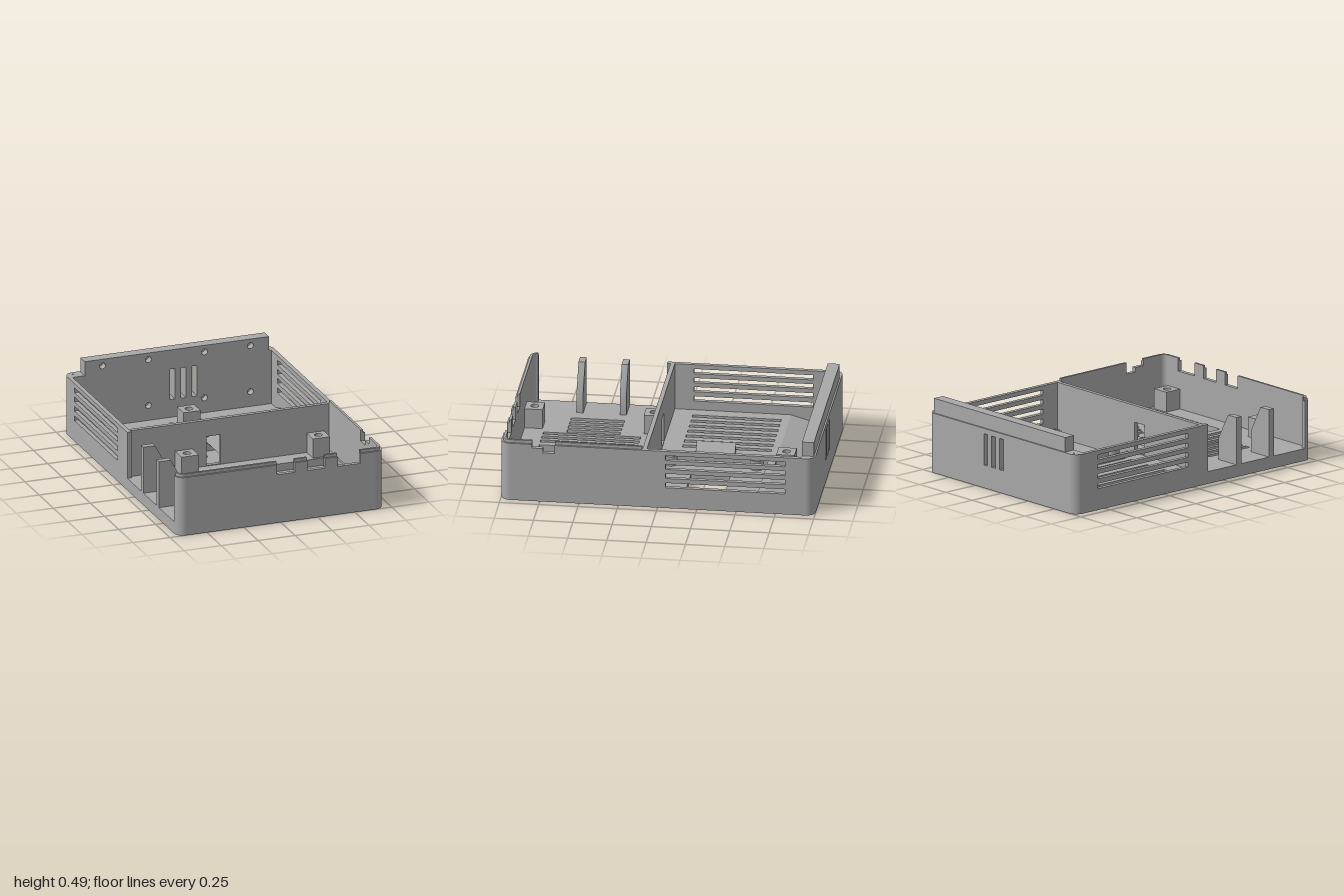
import * as THREE from 'three';
import { toCreasedNormals } from 'three/addons/utils/BufferGeometryUtils.js';

const plastic = new THREE.MeshStandardMaterial({ color: 0xa8a8a8 });
plastic.name = 'grey plastic';

// Closed outline from [u, v] points
const poly = (pts) => new THREE.Shape(pts.map(([u, v]) => new THREE.Vector2(u, v)));
const rect = (u0, v0, u1, v1) => poly([[u0, v0], [u1, v0], [u1, v1], [u0, v1]]);
const disc = (u, v, r) => new THREE.Shape().absarc(u, v, r, 0, Math.PI * 2, false);
const withHoles = (shape, holes) => { shape.holes.push(...holes); return shape; };

// Ring segment between two angles
function sector(u, v, r0, r1, a0, a1) {
  const s = new THREE.Shape();
  s.absarc(u, v, r1, a0, a1, false);
  s.absarc(u, v, r0, a1, a0, true);
  s.closePath();
  return s;
}

const extrude = (shape, depth) =>
  new THREE.ExtrudeGeometry(shape, { depth, bevelEnabled: false, curveSegments: 20 });

export function createModel() {
  const model = new THREE.Group();
  model.name = 'enclosureBase';

  const add = (name, geometry) => {
    const mesh = new THREE.Mesh(toCreasedNormals(geometry, 0.5), plastic);
    mesh.name = name;
    model.add(mesh);
  };
  // Plan shapes use (x, -z), side shapes (z, y), front shapes (x, y)
  const plan = (name, shape, y0, y1) =>
    add(name, extrude(shape, y1 - y0).rotateX(-Math.PI / 2).translate(0, y0, 0));
  const side = (name, shape, x0, x1) =>
    add(name, extrude(shape, x1 - x0).rotateY(-Math.PI / 2).translate(x1, 0, 0));
  const front = (name, shape, z0, z1) =>
    add(name, extrude(shape, z1 - z0).translate(0, 0, z0));
  const planRect = (x0, z0, x1, z1) => rect(x0, -z1, x1, -z0);

  const W = 0.7, L = 1, T = 0.028, H = 0.39, R = 0.06;
  const LOW = 0.03, FLOOR = 0.08, LIP = 0.41;

  // Floor vents and screw holes
  const backVents = [], frontVents = [];
  for (let i = 0; i < 7; i++) {
    const x = -0.59 + i * 0.0785;
    backVents.push(planRect(x, -0.62, x + 0.033, -0.055));
  }
  for (let i = 0; i < 4; i++) {
    const x = -0.445 + i * 0.062;
    frontVents.push(planRect(x, 0.36, x + 0.035, 0.7));
  }
  for (let i = 0; i < 3; i++) {
    const x = -0.202 + i * 0.062;
    frontVents.push(planRect(x, 0.225, x + 0.032, 0.845));
  }
  const posts = [[-0.31, 0.155, 0.21], [0.58, 0.15, 0.21], [-0.31, 0.915, 0.21],
    [0.58, 0.915, 0.21], [0.045, -0.735, 0.145]];
  const postHoles = posts.map(([x, z]) => disc(x, -z, 0.025));
  const bosses = [], fanHoles = [];
  for (const x of [0.07, 0.62]) {
    for (const z of [-0.55, 0]) bosses.push([x, z]);
    for (const z of [0.29, 0.775]) fanHoles.push(disc(x - (x > 0.5 ? 0.025 : 0), -z, 0.036));
  }

  // Fan grill: three rings broken by three spokes
  const grill = [];
  for (const [r0, r1] of [[0.06, 0.092], [0.12, 0.152], [0.185, 0.216]]) {
    const gap = 0.02 / r1;
    for (let k = 0; k < 3; k++) {
      const a = Math.PI / 2 + k * Math.PI * 2 / 3;
      grill.push(sector(0.33, -0.53, r0, r1, a + gap, a + Math.PI * 2 / 3 - gap));
    }
  }

  // Lower floor with rounded corners
  const base = new THREE.Shape();
  base.absarc(W - R, L - R, R, 0, Math.PI / 2, false);
  base.absarc(R - W, L - R, R, Math.PI / 2, Math.PI, false);
  base.absarc(R - W, R - L, R, Math.PI, Math.PI * 1.5, false);
  base.absarc(W - R, R - L, R, Math.PI * 1.5, Math.PI * 2, false);
  plan('floor', withHoles(base, [...backVents, ...frontVents, ...postHoles, ...fanHoles, ...grill,
    ...bosses.map(([x, z]) => disc(x, -z, 0.034)), planRect(0.22, -0.4, 0.47, -0.15)]), 0, LOW);

  // Raised floor with recesses for the fan and the board
  plan('raisedFloorFront', withHoles(planRect(-0.675, 0.085, 0.675, 0.975),
    [...frontVents, ...postHoles.slice(0, 4), planRect(0, 0.225, 0.66, 0.845)]), LOW, FLOOR);
  plan('raisedFloorBack', withHoles(planRect(-0.675, -0.67, 0, 0.085), backVents), LOW, FLOOR);
  plan('raisedFloorStrip', planRect(0, -0.67, 0.675, -0.62), LOW, FLOOR);
  const ramp = () => poly([[-0.84, LOW], [-0.67, LOW], [-0.67, FLOOR]]);
  side('floorRampLeft', ramp(), 0.14, 0.675);
  side('floorRampRight', ramp(), -0.675, -0.05);
  front('cableRamp', poly([[-0.06, FLOOR], [0, FLOOR], [-0.06, 0.14]]), -0.4, -0.15);

  // Square screw posts and round standoffs
  posts.forEach(([x, z, h]) => plan('screwPost',
    withHoles(planRect(x - 0.058, z - 0.058, x + 0.058, z + 0.058), [disc(x, -z, 0.025)]), LOW, h));
  bosses.forEach(([x, z]) => plan('standoff',
    withHoles(disc(x, -z, 0.045), [disc(x, -z, 0.034)]), LOW, 0.095));

  // Side walls with long vents
  const sideVents = () => [0.14, 0.204, 0.266, 0.328].map((y) => rect(-0.81, y, -0.05, y + 0.033));
  const z0 = R - L, z1 = L - R;
  side('leftWall', withHoles(poly([[z0, LOW], [z1, LOW], [z1, H], [0.8, H], [0.8, 0.365],
    [0.73, 0.365], [0.73, 0.335], [0.655, 0.335], [0.655, H], [z0, H]]), sideVents()), W - T, W);
  side('rightWall', withHoles(poly([[z0, LOW], [z1, LOW], [z1, FLOOR], [0.12, FLOOR], [0.12, H],
    [z0, H]]), sideVents()), -W, T - W);

  // Front wall and lip with connector notches
  const notches = [[-0.025, 0.095], [0.18, 0.3], [0.385, 0.54]];
  const notched = (y0, y1, yn) => {
    const pts = [[R - W, y0], [W - R, y0], [W - R, y1]];
    [...notches].reverse().forEach(([a, b]) => pts.push([b, y1], [b, yn], [a, yn], [a, y1]));
    return poly([...pts, [R - W, y1]]);
  };
  front('frontWall', notched(LOW, H, 0.325), L - T, L);
  const edges = [R - W, ...notches.flat(), W - R];
  for (let i = 0; i < edges.length; i += 2) {
    front('frontLip', rect(edges[i], H, edges[i + 1], LIP), L - T, L - 0.012);
  }
  for (const [a, b] of [[0.1, 0.655], [0.8, z1]]) {
    side('leftLip', rect(a, H, b, LIP), W - T, W - 0.012);
  }

  // Rounded wall corners
  [[1, -1, 0], [-1, -1, 1], [-1, 1, 2], [1, 1, 3]].forEach(([sx, sz, q]) => {
    const u = sx * (W - R), v = -sz * (L - R), a = q * Math.PI / 2;
    plan('wallCorner', sector(u, v, R - T, R, a, a + Math.PI / 2), LOW, H);
    if (sz > 0) plan('lipCorner', sector(u, v, R - T, R - 0.012, a, a + Math.PI / 2), H, LIP);
  });

  // Back wall with a taller thick panel, three vents and blind screw holes
  const backVentsUp = () => [-0.015, 0.06, 0.135].map((x) => rect(x, 0.15, x + 0.035, 0.355));
  const blind = [];
  for (const x of [-0.47, -0.16, 0.22, 0.53]) {
    for (const y of [0.13, 0.44]) blind.push(disc(x, y, 0.02));
  }
  front('backWall', withHoles(rect(R - W, LOW, W - R, H), backVentsUp()), -L, -0.965);
  front('backPanelTop', rect(-0.59, H, 0.655, 0.485), -0.99, -0.965);
  front('backPanel', withHoles(poly([[-0.675, LOW], [0.675, LOW], [0.675, H], [0.655, H],
    [0.655, 0.485], [-0.59, 0.485], [-0.59, H], [-0.675, H]]), [...backVentsUp(), ...blind]), -0.965, -0.914);

  // Divider with a cable opening
  front('divider', withHoles(rect(T - W, LOW, W - T, H),
    [rect(-0.155, 0.085, -0.06, 0.28)]), 0.07, 0.098);

  // Support fins at the open side
  for (const z of [0.36, 0.635]) {
    front('supportFin', poly([[-0.7, FLOOR], [-0.53, FLOOR], [-0.53, 0.22], [-0.62, H], [-0.7, H]]),
      z, z + 0.042);
  }
  return model;
}
